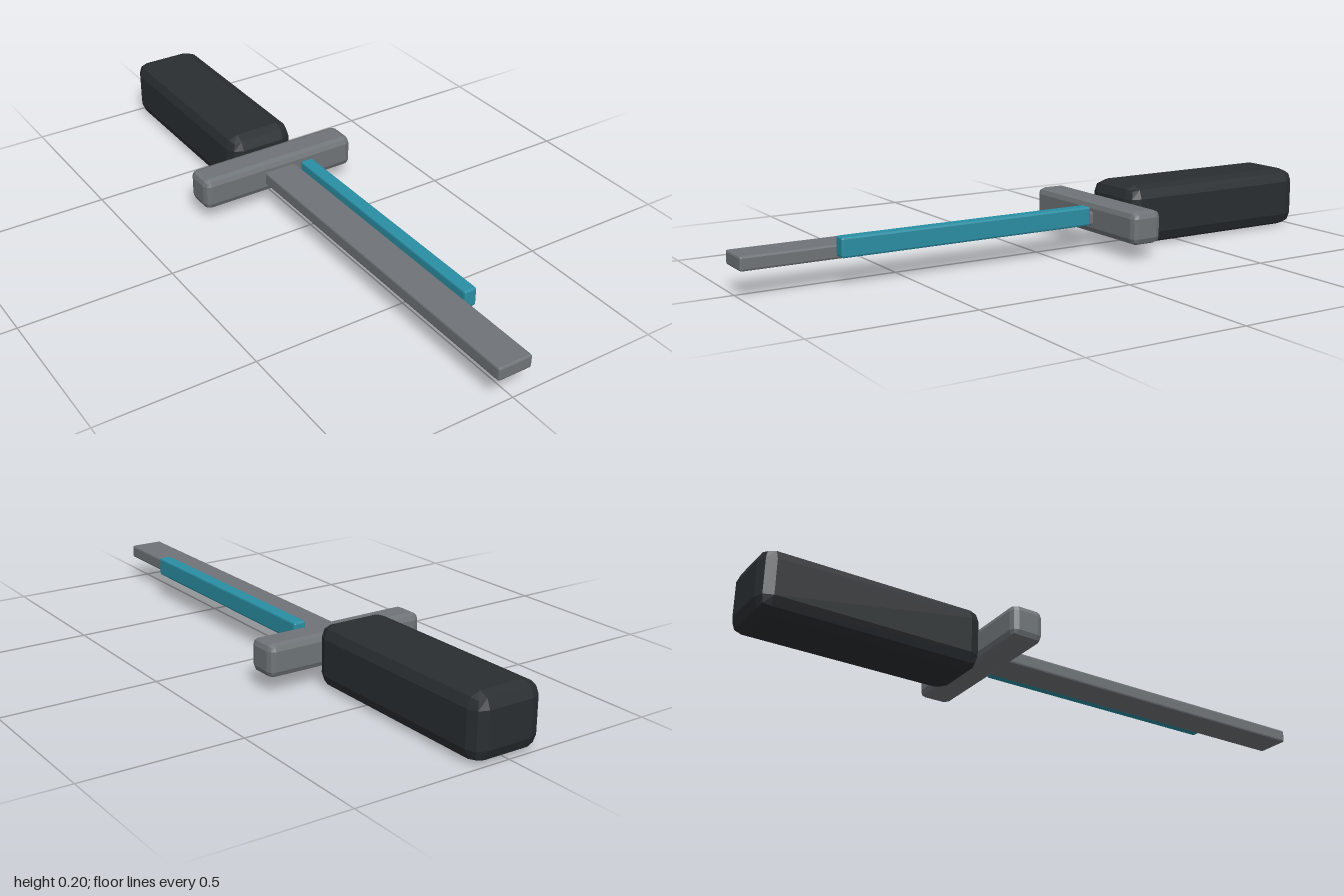
import * as THREE from 'three';
import { RoundedBoxGeometry } from 'three/addons/geometries/RoundedBoxGeometry.js';

// Box with a two-facet bevel, given by its [min, max] extents
function bevelBox(name, x, y, z, bevel, color) {
  const size = [x, y, z].map(([a, b]) => b - a);
  const geometry = new RoundedBoxGeometry(...size, 1, bevel);
  const material = new THREE.MeshStandardMaterial({ color, flatShading: true });
  const mesh = new THREE.Mesh(geometry, material);
  mesh.name = name;
  mesh.position.set(...[x, y, z].map(([a, b]) => (a + b) / 2));
  return mesh;
}

export function createModel() {
  const model = new THREE.Group();
  model.name = 'dagger';
  const dark = 0x2a2e31, metal = 0x6f7478, teal = 0x2a8fa4;

  model.add(
    // Chunky handle at the back
    bevelBox('grip', [-0.117, 0.117], [0, 0.197], [-1, -0.288], 0.042, dark),
    // Crossbar between handle and blade
    bevelBox('guard', [-0.277, 0.277], [0.047, 0.152], [-0.287, -0.18], 0.021, metal),
    // Long flat blade, rooted inside the guard
    bevelBox('blade', [-0.057, 0.057], [0.078, 0.121], [-0.22, 1], 0.006, metal),
    // Coloured strip along the left side of the blade
    bevelBox('edgeStrip', [0.054, 0.097], [0.087, 0.148], [-0.143, 0.713], 0.006, teal)
  );
  return model;
}
